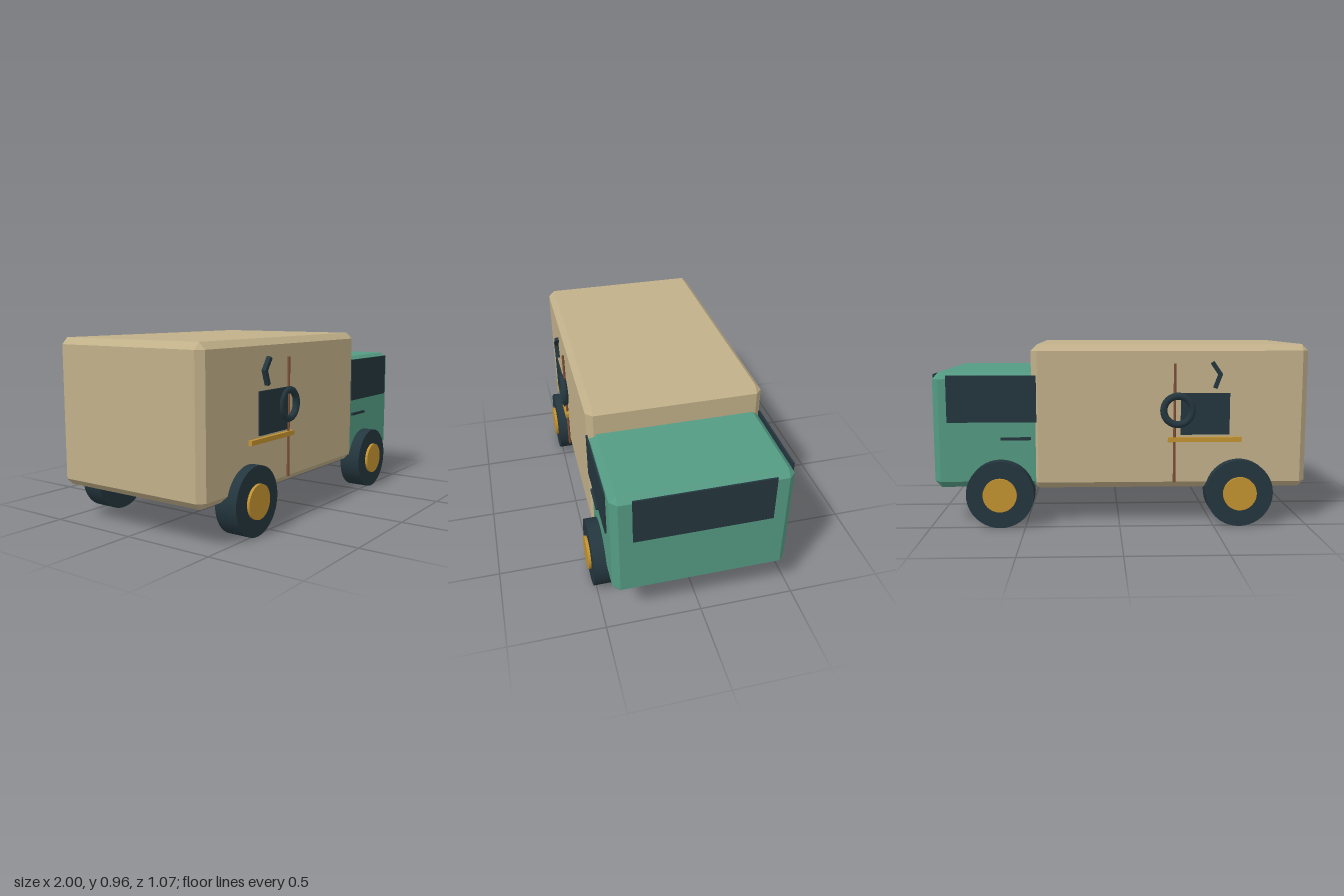
import * as THREE from 'three';
import { ConvexGeometry } from 'three/addons/geometries/ConvexGeometry.js';

function material(name, color) {
  const m = new THREE.MeshStandardMaterial({ color });
  m.name = name;
  return m;
}

// Box between two corners with flat chamfers on every edge
function chamferBox(min, max, c) {
  const mid = min.map((v, i) => (v + max[i]) / 2);
  const half = max.map((v, i) => (v - min[i]) / 2);
  const points = [];
  for (const sx of [-1, 1]) for (const sy of [-1, 1]) for (const sz of [-1, 1]) {
    const s = [sx, sy, sz];
    for (let axis = 0; axis < 3; axis++) {
      const p = s.map((v, i) => mid[i] + v * (half[i] - (i === axis ? 0 : c)));
      points.push(new THREE.Vector3(...p));
    }
  }
  return new ConvexGeometry(points);
}

export function createModel() {
  const tan = material('cargo tan', 0xc1b089);
  const green = material('cab green', 0x549b83);
  const dark = material('dark slate', 0x24363e);
  const gold = material('gold', 0xc29230);
  const brown = material('brown', 0x7d4e36);

  const van = new THREE.Group();
  van.name = 'deliveryVan';

  const add = (name, geometry, mat, x = 0, y = 0, z = 0, parent = van) => {
    const mesh = new THREE.Mesh(geometry, mat);
    mesh.name = name;
    mesh.position.set(x, y, z);
    parent.add(mesh);
    return mesh;
  };

  // Body
  add('cargoBox', chamferBox([-1, 0.2, -0.465], [0.465, 0.965, 0.465], 0.034), tan);
  add('cab', chamferBox([0.4, 0.204, -0.452], [0.985, 0.82, 0.452], 0.035), green);
  add('windshield', new THREE.BoxGeometry(0.009, 0.25, 0.7), dark, 0.991, 0.68, 0);

  // Everything that repeats on both sides
  for (const side of [1, -1]) {
    const group = new THREE.Group();
    group.name = side > 0 ? 'frontSide' : 'backSide';
    van.add(group);
    const put = (name, geometry, mat, x, y, z) => add(name, geometry, mat, x, y, z * side, group);

    // Wheels
    for (const x of [-0.635, 0.63]) {
      put('tire', new THREE.CylinderGeometry(0.178, 0.178, 0.124, 40).rotateX(Math.PI / 2), dark, x, 0.18, 0.457);
      put('hub', new THREE.CylinderGeometry(0.089, 0.089, 0.05, 32).rotateX(Math.PI / 2), gold, x, 0.18, 0.509);
    }

    // Cab door
    put('sideWindow', new THREE.BoxGeometry(0.468, 0.246, 0.009), dark, 0.672, 0.681, 0.464);
    put('doorHandle', new THREE.BoxGeometry(0.16, 0.014, 0.016), dark, 0.548, 0.47, 0.458);

    // Side emblem: post, board, ring, shelf and bent arm
    put('post', new THREE.CylinderGeometry(0.007, 0.007, 0.63, 12), brown, -0.29, 0.55, 0.477);
    put('board', new THREE.BoxGeometry(0.258, 0.22, 0.008), dark, -0.45, 0.602, 0.488);
    put('ring', new THREE.TorusGeometry(0.075, 0.019, 12, 40), dark, -0.306, 0.621, 0.488);
    put('shelf', new THREE.BoxGeometry(0.39, 0.025, 0.02), gold, -0.45, 0.465, 0.482);

    const bends = [[-0.487, 0.868], [-0.527, 0.81], [-0.502, 0.742]];
    for (let i = 0; i < 2; i++) {
      const [x0, y0] = bends[i], [x1, y1] = bends[i + 1];
      const length = Math.hypot(x1 - x0, y1 - y0) + 0.01;
      const arm = put('bentArm', new THREE.BoxGeometry(0.02, length, 0.024), dark,
        (x0 + x1) / 2, (y0 + y1) / 2, 0.486);
      arm.rotation.z = Math.atan2(x0 - x1, y1 - y0);
    }
  }

  return van;
}
